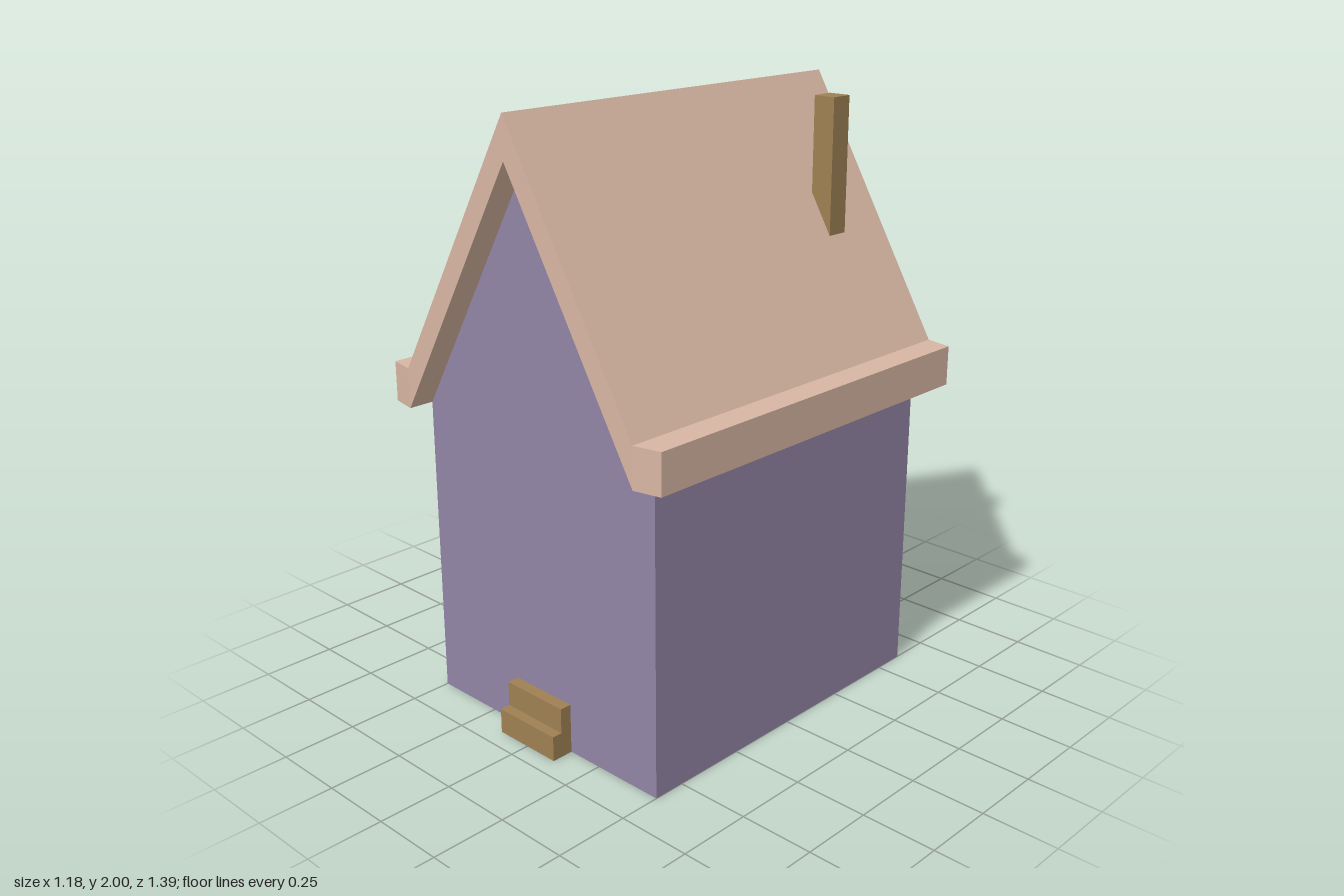
import * as THREE from 'three';

const roofMat = new THREE.MeshStandardMaterial({ name: 'pale clay', color: 0xd8b6a3 });
const wallMat = new THREE.MeshStandardMaterial({ name: 'dusty purple', color: 0x9285a5 });
const woodMat = new THREE.MeshStandardMaterial({ name: 'brown', color: 0x9f8053 });

// Prism from an outline, centred along its depth
function prism(points, depth) {
  const shape = new THREE.Shape(points.map(([x, y]) => new THREE.Vector2(x, y)));
  return new THREE.ExtrudeGeometry(shape, { depth, bevelEnabled: false }).translate(0, 0, -depth / 2);
}

export function createModel() {
  const house = new THREE.Group();
  house.name = 'house';

  function add(name, geometry, material, x = 0, y = 0, z = 0) {
    const mesh = new THREE.Mesh(geometry, material);
    mesh.name = name;
    mesh.position.set(x, y, z);
    house.add(mesh);
  }

  // Gabled walls
  add('walls', prism([[-0.5, 0], [0.5, 0], [0.5, 1.02], [0, 1.865], [-0.5, 1.02]], 1.22), wallMat);

  // Steep roof with an overhang at both gables
  add('roof', prism(
    [[-0.5, 1.02], [0, 1.865], [0.5, 1.02], [0.5, 1.152], [0, 2], [-0.5, 1.152]], 1.394), roofMat);

  // Eaves with slightly tapered ends
  for (const [name, s] of [['leftEave', 1], ['rightEave', -1]]) {
    const outline = [[0.5 * s, -0.697], [0.592 * s, -0.678], [0.592 * s, 0.678], [0.5 * s, 0.697]];
    add(name, prism(outline, 0.132).rotateX(-Math.PI / 2), roofMat, 0, 1.086, 0);
  }

  // Chimney through the left slope
  add('chimney', new THREE.BoxGeometry(0.078, 0.48, 0.078), woodMat, 0.246, 1.72, -0.458);

  // Two front steps
  add('lowerStep', new THREE.BoxGeometry(0.25, 0.084, 0.075), woodMat, 0, 0.042, 0.6475);
  add('upperStep', new THREE.BoxGeometry(0.25, 0.084, 0.04), woodMat, 0, 0.126, 0.63);

  return house;
}
